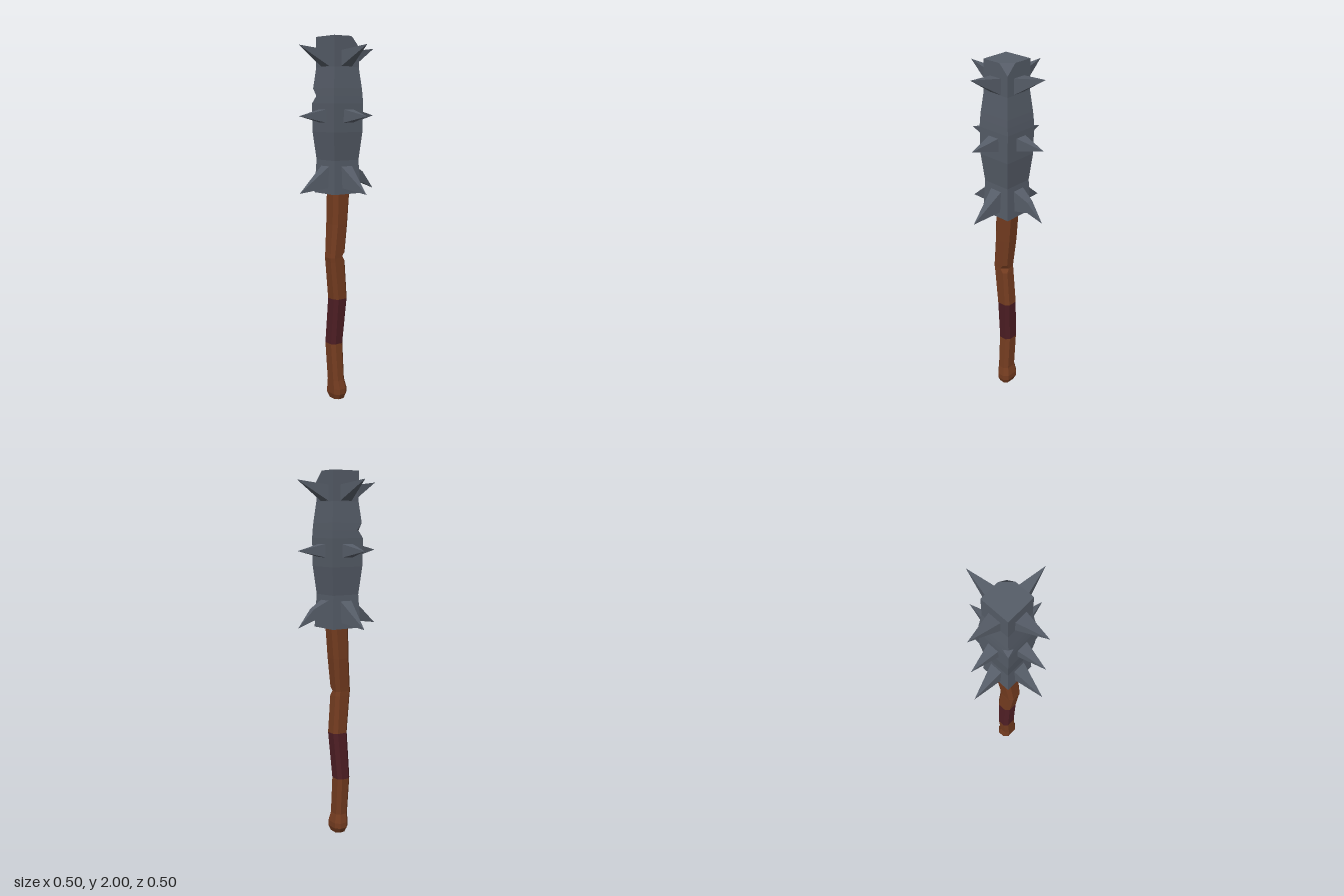
import * as THREE from 'three';

// One cross-section: a rectangle with a chamfer for each corner
// (front left +x, back +x, back -x, front -x), as eight points seen counterclockwise from above.
function ring(y, x0, x1, z0, z1, [a, b, c, d]) {
  return [
    [x0 + d, z1], [x1 - a, z1], [x1, z1 - a], [x1, z0 + b],
    [x1 - b, z0], [x0 + c, z0], [x0, z0 + c], [x0, z1 - d],
  ].map(([x, z]) => new THREE.Vector3(x, y, z));
}

// Joins the rings from bottom to top into a closed, faceted solid.
function loft(rings) {
  const pos = [];
  const tri = (a, b, c) => {
    const area = b.clone().sub(a).cross(c.clone().sub(a)).length();
    if (area > 1e-8) for (const p of [a, b, c]) pos.push(p.x, p.y, p.z);
  };
  for (let r = 0; r < rings.length - 1; r++) {
    const lo = rings[r], hi = rings[r + 1];
    for (let i = 0; i < 8; i++) {
      const j = (i + 1) % 8;
      tri(lo[i], lo[j], hi[j]);
      tri(lo[i], hi[j], hi[i]);
    }
  }
  const first = rings[0], last = rings[rings.length - 1];
  for (let i = 1; i < 7; i++) {
    tri(first[0], first[i + 1], first[i]);
    tri(last[0], last[i], last[i + 1]);
  }
  const g = new THREE.BufferGeometry();
  g.setAttribute('position', new THREE.Float32BufferAttribute(pos, 3));
  g.computeVertexNormals();
  return g;
}

export function createModel() {
  const material = (name, color) => {
    const m = new THREE.MeshStandardMaterial({ color, flatShading: true });
    m.name = name;
    return m;
  };
  const wood = material('wood', 0x743c20);
  const leather = material('leather', 0x4e1e24);
  const iron = material('iron', 0x565d68);

  const model = new THREE.Group();
  model.name = 'spikedClub';
  const add = (name, geometry, mat, parent = model) => {
    const mesh = new THREE.Mesh(geometry, mat);
    mesh.name = name;
    parent.add(mesh);
    return mesh;
  };

  // Crooked wooden shaft: y, x range, z range, optional dent on the back corner
  const shaft = (rows) => loft(rows.map(([y, x0, x1, z0, z1, dent = 0]) => {
    const c = 0.21 * (x1 - x0);
    return ring(y, x0, x1, z0, z1, [c, c + dent, c, c]);
  }));
  const gripBottom = [0.32, -0.065, 0.025, -0.03, 0.05];
  const gripTop = [0.58, -0.045, 0.045, -0.045, 0.045];
  add('lowerHandle', shaft([
    [0, -0.042, 0.04, -0.03, 0.036],
    [0.03, -0.06, 0.052, -0.042, 0.045],
    [0.06, -0.06, 0.052, -0.042, 0.045],
    [0.11, -0.05, 0.04, -0.03, 0.045],
    gripBottom,
  ]), wood);
  add('grip', shaft([gripBottom, gripTop]), leather);
  add('upperHandle', shaft([
    gripTop,
    [0.79, -0.041, 0.045, -0.029, 0.066],
    [0.815, -0.04, 0.045, -0.025, 0.07, 0.016],
    [0.84, -0.041, 0.046, -0.028, 0.067],
    [1.0, -0.05, 0.05, -0.045, 0.055],
    [1.19, -0.05, 0.05, -0.06, 0.05],
  ]), wood);

  // Square iron head: y, half width, back chip, front notch
  add('head', loft([
    [1.17, 0.09, 0, 0],
    [1.35, 0.081, 0, 0],
    [1.5, 0.096, 0, 0],
    [1.65, 0.098, 0, 0],
    [1.69, 0.096, 0, 0.036],
    [1.73, 0.093, 0, 0],
    [1.84, 0.081, 0, 0],
    [1.945, 0.081, 0, 0],
    [2.0, 0.081, 0.054, 0],
  ].map(([y, w, chip, notch]) => ring(y, -w, w, -w, w, [0, chip, 0, notch]))), iron);

  // Spikes: three rows around the four sides, top row rising and bottom row drooping
  const spikes = new THREE.Group();
  spikes.name = 'spikes';
  model.add(spikes);
  const rows = [
    { name: 'bottomSpike', low: 1.205, high: 1.325, tip: 1.18 },
    { name: 'middleSpike', low: 1.545, high: 1.625, tip: 1.585 },
    { name: 'topSpike', low: 1.84, high: 1.925, tip: 1.948 },
  ];
  for (const { name, low, high, tip } of rows) {
    for (let k = 0; k < 4; k++) {
      const bend = name === 'bottomSpike' && k === 2 ? 0.025 : 0;
      const slice = (out, t, lift) => {
        const w = 0.037 * (1 - t);
        const lo = THREE.MathUtils.lerp(low, tip, t) + lift;
        const hi = THREE.MathUtils.lerp(high, tip, t) + lift;
        return ring(out, -w, w, -hi, -lo, [0, 0, 0, 0]);
      };
      const g = loft([slice(0.075, 0, 0), slice(0.1625, 0.5, bend), slice(0.25, 1, 0)]);
      g.rotateX(Math.PI / 2);
      add(name, g, iron, spikes).rotation.y = k * Math.PI / 2;
    }
  }
  return model;
}
